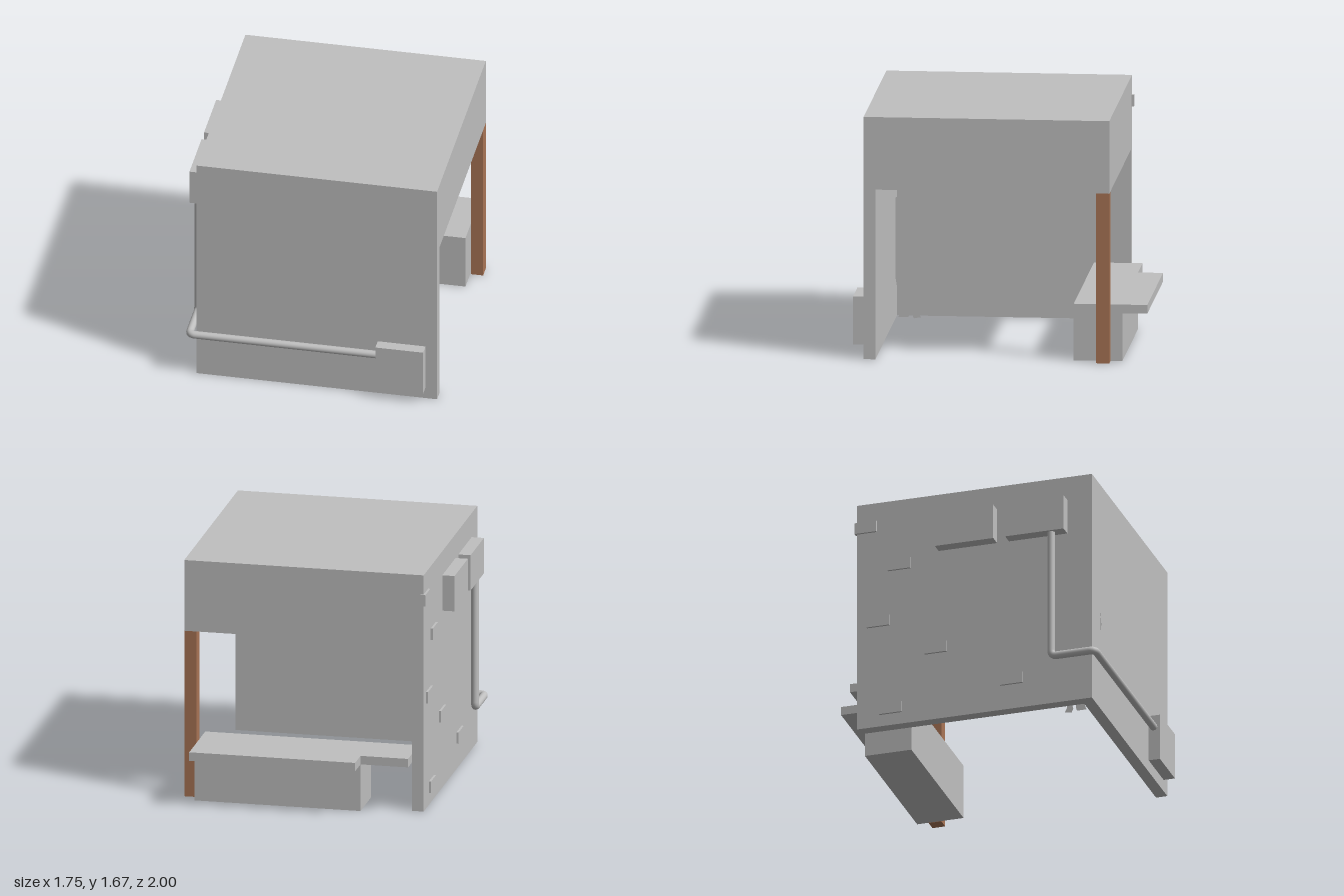
import * as THREE from 'three';

export function createModel() {
  const model = new THREE.Group();
  model.name = 'cornerShelter';

  const concrete = new THREE.MeshStandardMaterial({ color: 0xc0c0c0, side: THREE.DoubleSide });
  concrete.name = 'concreteGrey';
  const wood = new THREE.MeshStandardMaterial({ color: 0xaa7556 });
  wood.name = 'woodBrown';

  const add = (name, geometry, material = concrete) => {
    const mesh = new THREE.Mesh(geometry, material);
    mesh.name = name;
    model.add(mesh);
    return mesh;
  };

  // Box from its limits on each axis
  const box = (name, [x0, x1], [y0, y1], [z0, z1], material) => {
    const g = new THREE.BoxGeometry(x1 - x0, y1 - y0, z1 - z0);
    g.translate((x0 + x1) / 2, (y0 + y1) / 2, (z0 + z1) / 2);
    return add(name, g, material);
  };

  // Shell: two walls, roof slab and two deep beams over the open sides
  box('roof', [-0.79, 0.87], [1.59, 1.67], [-0.75, 0.92]);
  box('frontWall', [-0.79, 0.87], [0, 1.59], [0.84, 0.92]);
  box('rightWall', [-0.79, -0.71], [0, 1.59], [-0.75, 0.84]);
  box('leftBeam', [0.79, 0.87], [1.17, 1.59], [-0.75, 0.84]);
  box('backBeam', [-0.71, 0.79], [1.17, 1.59], [-0.75, -0.67]);
  box('cornerPost', [0.785, 0.87], [0, 1.17], [-0.75, -0.66], wood);

  // Bench: solid base with an overhanging L-shaped top
  box('benchBase', [-0.37, 0.78], [0, 0.33], [-0.83, -0.5]);
  const top = new THREE.Shape([
    [-0.7, 0.5], [0.78, 0.5], [0.78, 1], [-0.37, 1], [-0.37, 0.83], [-0.7, 0.83],
  ].map(([x, y]) => new THREE.Vector2(x, y)));
  const topGeometry = new THREE.ExtrudeGeometry(top, { depth: 0.06, bevelEnabled: false });
  topGeometry.rotateX(-Math.PI / 2);
  topGeometry.translate(0, 0.33, 0);
  add('benchTop', topGeometry);

  // Raised bricks on the right wall: [lowest y, rearmost z]
  [[1.15, -0.53], [0.745, -0.68], [0.49, -0.27], [0.18, 0.27], [0.085, -0.59]].forEach(([y, z]) =>
    box('wallBrick', [-0.805, -0.79], [y, y + 0.08], [z, z + 0.16]));
  box('cornerBrick', [-0.805, -0.77], [1.455, 1.535], [-0.765, -0.61]);

  // Equipment boxes
  box('rearWallUnit', [-0.875, -0.79], [1.25, 1.5], [-0.17, 0.245]);
  box('frontWallUnit', [-0.875, -0.79], [1.25, 1.5], [0.33, 0.745]);
  box('meterBox', [0.46, 0.79], [0.085, 0.415], [0.92, 1]);

  // Pipe: down the right wall, round the corner and along the front
  const v = (x, y, z) => new THREE.Vector3(x, y, z);
  const path = new THREE.CurvePath();
  const px = -0.835, py = 0.33, pz = 0.955, z0 = 0.645, r = 0.04;
  path.add(new THREE.LineCurve3(v(px, 1.26, z0), v(px, py + r, z0)));
  path.add(new THREE.QuadraticBezierCurve3(v(px, py + r, z0), v(px, py, z0), v(px, py, z0 + r)));
  path.add(new THREE.LineCurve3(v(px, py, z0 + r), v(px, py, pz - r)));
  path.add(new THREE.QuadraticBezierCurve3(v(px, py, pz - r), v(px, py, pz), v(px + r, py, pz)));
  path.add(new THREE.LineCurve3(v(px + r, py, pz), v(0.47, py, pz)));
  add('pipe', new THREE.TubeGeometry(path, 240, 0.0265, 16, false));

  // Flat standing figure, partly set into the front wall; points are [z, y]
  const outline = [
    [0.785, 0.97], [0.747, 0.953], [0.742, 0.9], [0.758, 0.857], [0.715, 0.814], [0.667, 0.771],
    [0.645, 0.696], [0.624, 0.616], [0.656, 0.568], [0.704, 0.514], [0.699, 0.375], [0.688, 0.268],
    [0.661, 0.161], [0.667, 0.096], [0.683, 0.043], [0.667, 0.01], [0.715, 0.002], [0.726, 0.027],
    [0.715, 0.08], [0.72, 0.187], [0.747, 0.295], [0.785, 0.37],
    [0.774, 0.295], [0.742, 0.16], [0.747, 0.027], [0.752, 0.01], [0.82, 0.01], [0.8, 0.07],
    [0.82, 0.16], [0.838, 0.268], [0.865, 0.42], [0.865, 0.52], [0.9, 0.56],
    [0.92, 0.575], [0.926, 0.63], [0.921, 0.68], [0.922, 0.715], [0.9, 0.771], [0.865, 0.81],
    [0.822, 0.846], [0.817, 0.878], [0.833, 0.921], [0.817, 0.953],
  ];
  const armGap = [[0.7, 0.67], [0.672, 0.62], [0.72, 0.552], [0.72, 0.616]];
  const points = (list) => list.map(([z, y]) => new THREE.Vector2(-z, y));
  const figure = new THREE.Shape(points(outline));
  figure.holes.push(new THREE.Path(points(armGap)));
  const figureGeometry = new THREE.ShapeGeometry(figure);
  figureGeometry.rotateY(Math.PI / 2);
  add('standingFigure', figureGeometry).position.x = -0.6;

  return model;
}
